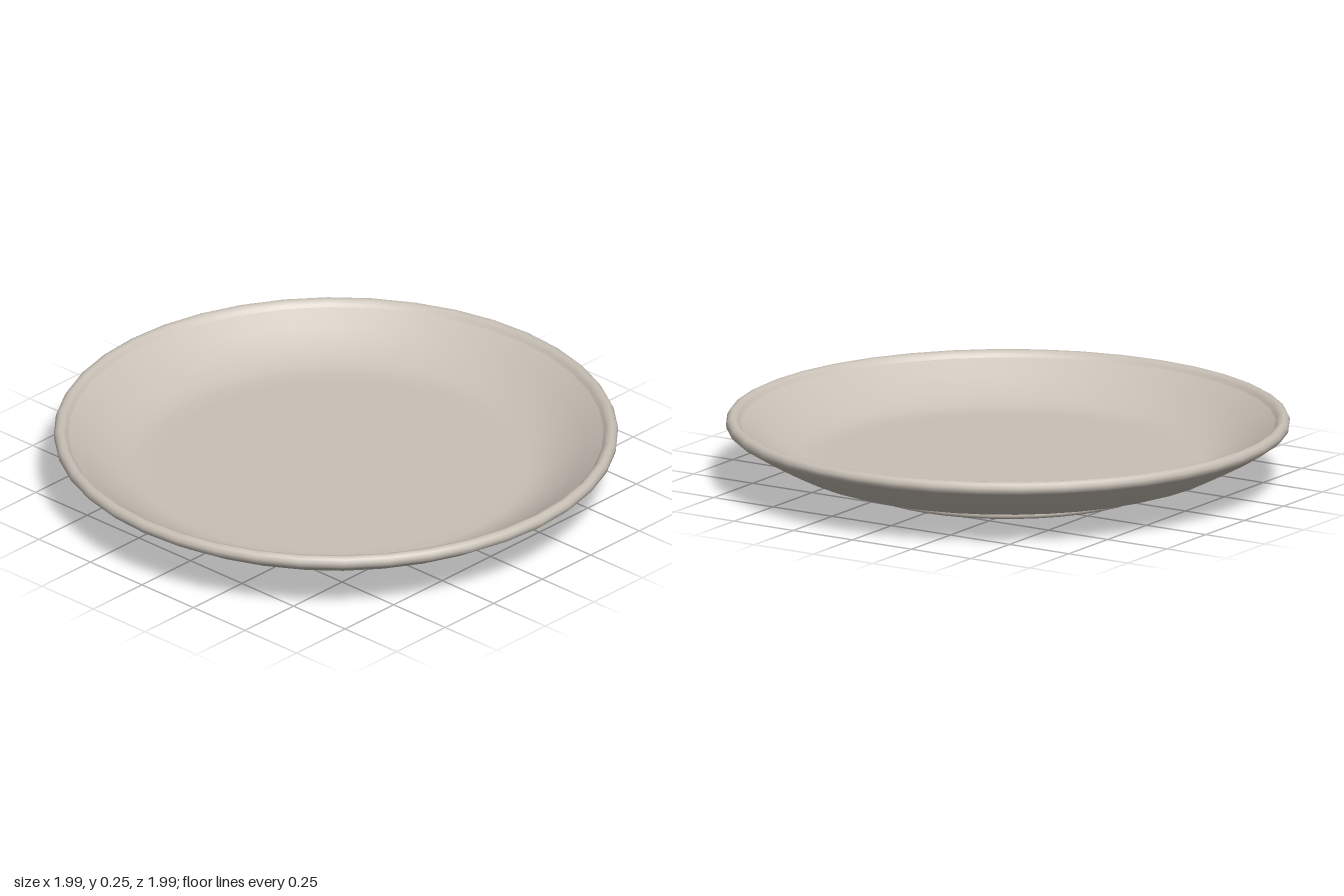
import * as THREE from 'three';

const SEGMENTS = 40;

export function createModel() {
  const group = new THREE.Group();
  group.name = 'plate';
  const glaze = new THREE.MeshStandardMaterial({ color: 0xc9c1b7 });
  glaze.name = 'warm grey glaze';

  // Revolve a profile of [radius, height] pairs around the vertical axis
  const lathe = (name, pairs) => {
    const points = pairs.map(([r, y]) => new THREE.Vector2(r, y));
    const mesh = new THREE.Mesh(new THREE.LatheGeometry(points, SEGMENTS), glaze);
    mesh.name = name;
    group.add(mesh);
  };

  // Curved underside, from the foot out to the rim
  lathe('underside', [
    [0.53, 0.037], [0.58, 0.04], [0.65, 0.049], [0.71, 0.06],
    [0.77, 0.08], [0.83, 0.11], [0.91, 0.153], [0.985, 0.2],
  ]);

  // Rounded lip
  lathe('rim', [
    [0.985, 0.2], [0.995, 0.21], [0.997, 0.225], [0.99, 0.238],
    [0.977, 0.245], [0.963, 0.242], [0.954, 0.232], [0.946, 0.222],
  ]);

  // Sloping inner wall easing into the flat floor
  lathe('innerWall', [
    [0.946, 0.222], [0.88, 0.175], [0.82, 0.135], [0.76, 0.108],
    [0.72, 0.097], [0.69, 0.093], [0.64, 0.092],
  ]);
  lathe('floor', [[0.64, 0.092], [0, 0.092]]);

  // Raised foot ring with rounded edges
  lathe('footRing', [
    [0.495, 0.02], [0.5, 0.009], [0.508, 0.002], [0.516, 0],
    [0.53, 0], [0.538, 0.004], [0.542, 0.012], [0.542, 0.028], [0.53, 0.037],
  ]);

  // Recessed base inside the foot ring
  lathe('base', [[0, 0.02], [0.495, 0.02]]);

  return group;
}
